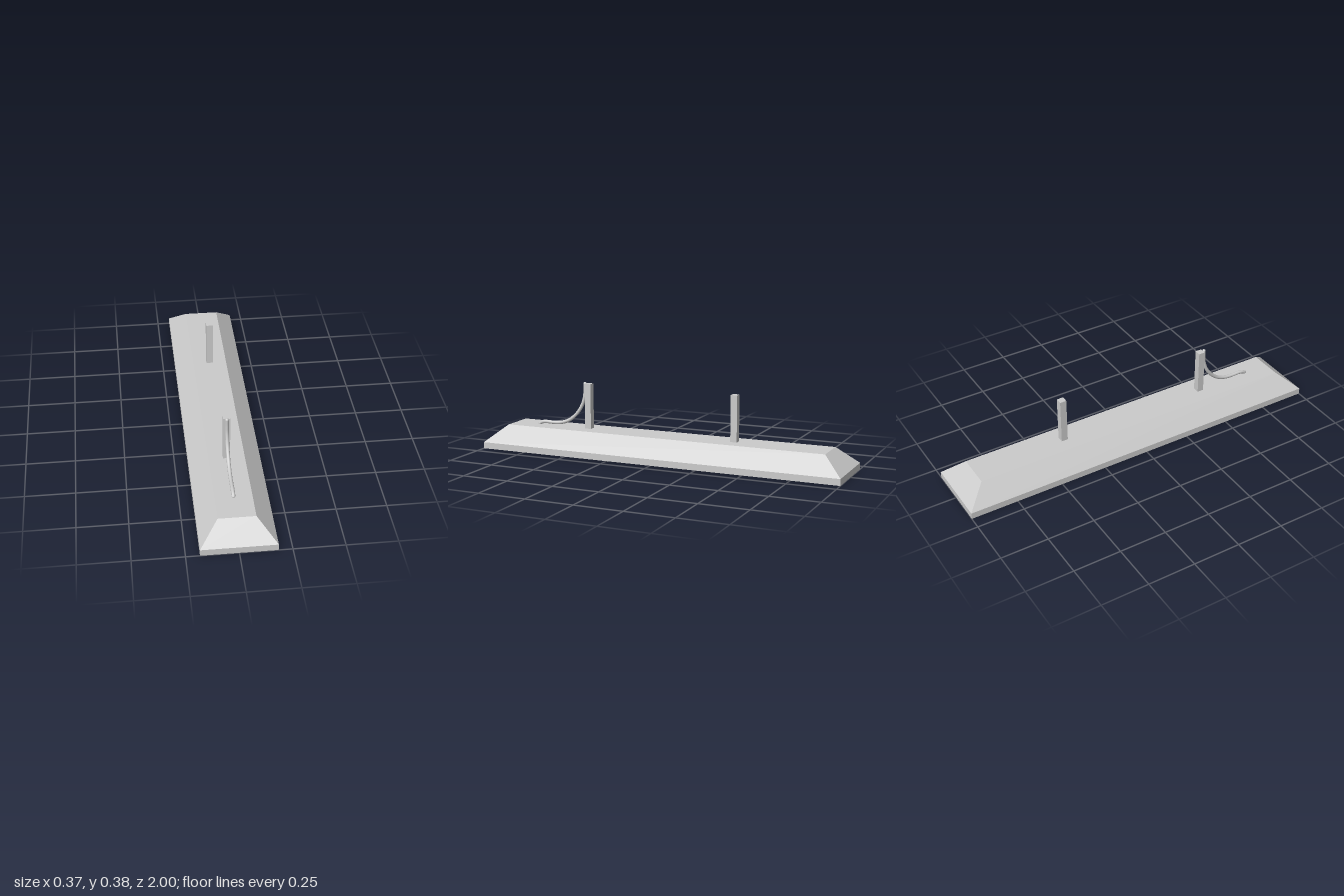
import * as THREE from 'three';

const material = new THREE.MeshStandardMaterial({ color: 0xcccccc });

function addMesh(parent, name, geometry, x = 0, y = 0, z = 0) {
  const mesh = new THREE.Mesh(geometry, material);
  mesh.name = name;
  mesh.position.set(x, y, z);
  parent.add(mesh);
  return mesh;
}

// Faceted solid joining rectangular rings [halfX, halfZ, y], closed at both ends
function ringSolid(rings) {
  const corners = [[1, 1], [1, -1], [-1, -1], [-1, 1]];
  const points = rings.map(([hx, hz, y]) => corners.map(([sx, sz]) => [sx * hx, y, sz * hz]));
  const positions = [];
  const quad = (a, b, c, d) => positions.push(...a, ...b, ...c, ...a, ...c, ...d);
  for (let i = 0; i < points.length - 1; i++) {
    for (let k = 0; k < 4; k++) {
      const n = (k + 1) % 4;
      quad(points[i][k], points[i][n], points[i + 1][n], points[i + 1][k]);
    }
  }
  const first = points[0];
  quad(first[3], first[2], first[1], first[0]);
  quad(...points[points.length - 1]);
  const geometry = new THREE.BufferGeometry();
  geometry.setAttribute('position', new THREE.Float32BufferAttribute(positions, 3));
  geometry.computeVertexNormals();
  return geometry;
}

export function createModel() {
  const group = new THREE.Group();
  group.name = 'displayStand';

  // Bevelled plinth with a shallow recess underneath
  addMesh(group, 'base', ringSolid([
    [0.12, 0.945, 0.029],
    [0.12, 0.945, 0],
    [0.183, 1, 0],
    [0.183, 1, 0.034],
    [0.091, 0.895, 0.125],
  ]));

  // Two square uprights
  const postHeight = 0.243;
  for (const [name, z] of [['frontPost', 0.443], ['rearPost', -0.392]]) {
    addMesh(group, name, new THREE.BoxGeometry(0.035, postHeight, 0.035), 0, 0.125 + postHeight / 2, z);
  }

  // Curved support rod sweeping down from the front post
  const support = new THREE.Group();
  support.name = 'curvedSupport';
  group.add(support);
  const radius = 0.0095;
  const path = new THREE.CatmullRomCurve3([
    [0.366, 0.467], [0.33, 0.467], [0.29, 0.471], [0.24, 0.49], [0.195, 0.523], [0.16, 0.567],
    [0.143, 0.615], [0.139, 0.66], [0.14, 0.71], [0.136, 0.735], [0.127, 0.749],
  ].map(([y, z]) => new THREE.Vector3(0, y, z)));
  addMesh(support, 'supportRod', new THREE.TubeGeometry(path, 48, radius, 12));
  for (const [name, t] of [['supportTopEnd', 0], ['supportFootEnd', 1]]) {
    const p = path.getPoint(t);
    addMesh(support, name, new THREE.SphereGeometry(radius, 12, 8), p.x, p.y, p.z);
  }
  return group;
}
